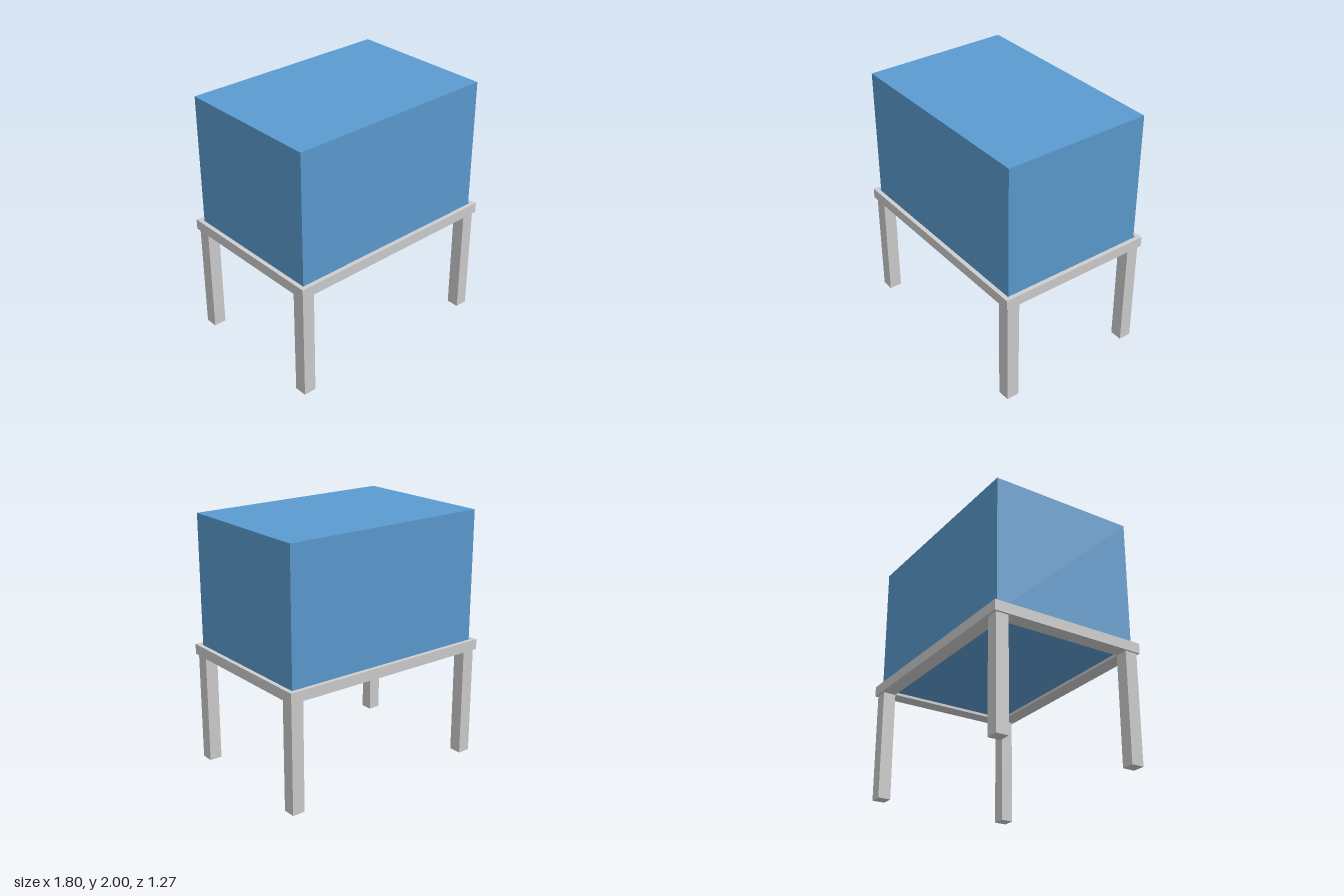
import * as THREE from 'three';

const grey = new THREE.MeshStandardMaterial({ color: 0xcecece });
grey.name = 'light grey metal';
const blue = new THREE.MeshStandardMaterial({ color: 0x5b9bd0 });
blue.name = 'blue panel';

const RAIL = { x: 0.9, z: 0.637, bottom: 0.88, top: 0.962, wall: 0.034, flange: 0.12, thick: 0.022 };
const BOX = { x: 0.857, z: 0.593, top: 2 };
const LEG = { x: 0.884, z: 0.618, width: 0.102 };

function rectangle(target, x, z) {
  target.moveTo(-x, -z);
  target.lineTo(x, -z);
  target.lineTo(x, z);
  target.lineTo(-x, z);
  target.closePath();
  return target;
}

// Rectangular ring lying flat, measured inward from the rail's outer edge
function ring(name, from, to, y, height) {
  const shape = rectangle(new THREE.Shape(), RAIL.x - from, RAIL.z - from);
  shape.holes.push(rectangle(new THREE.Path(), RAIL.x - to, RAIL.z - to));
  const geometry = new THREE.ExtrudeGeometry(shape, { depth: height, bevelEnabled: false });
  geometry.rotateX(-Math.PI / 2);
  const mesh = new THREE.Mesh(geometry, grey);
  mesh.name = name;
  mesh.position.y = y;
  return mesh;
}

function block(name, width, height, depth, x, bottom, z, material) {
  const mesh = new THREE.Mesh(new THREE.BoxGeometry(width, height, depth), material);
  mesh.name = name;
  mesh.position.set(x, bottom + height / 2, z);
  return mesh;
}

export function createModel() {
  const model = new THREE.Group();
  model.name = 'boxOnStand';

  // Angle-section frame: upright rim and a ledge under the box
  const frame = new THREE.Group();
  frame.name = 'frame';
  frame.add(
    ring('frameRim', 0, RAIL.wall, RAIL.bottom, RAIL.top - RAIL.bottom),
    ring('frameLedge', RAIL.wall, RAIL.flange, RAIL.bottom, RAIL.thick)
  );
  model.add(frame);

  // Four square legs
  const half = LEG.width / 2;
  for (const [side, sx] of [['Left', 1], ['Right', -1]]) {
    for (const [end, sz] of [['front', 1], ['back', -1]]) {
      model.add(block(end + side + 'Leg', LEG.width, RAIL.bottom, LEG.width,
        sx * (LEG.x - half), 0, sz * (LEG.z - half), grey));
    }
  }

  // Box resting on the ledge
  const base = RAIL.bottom + RAIL.thick;
  model.add(block('box', BOX.x * 2, BOX.top - base, BOX.z * 2, 0, base, 0, blue));

  return model;
}
